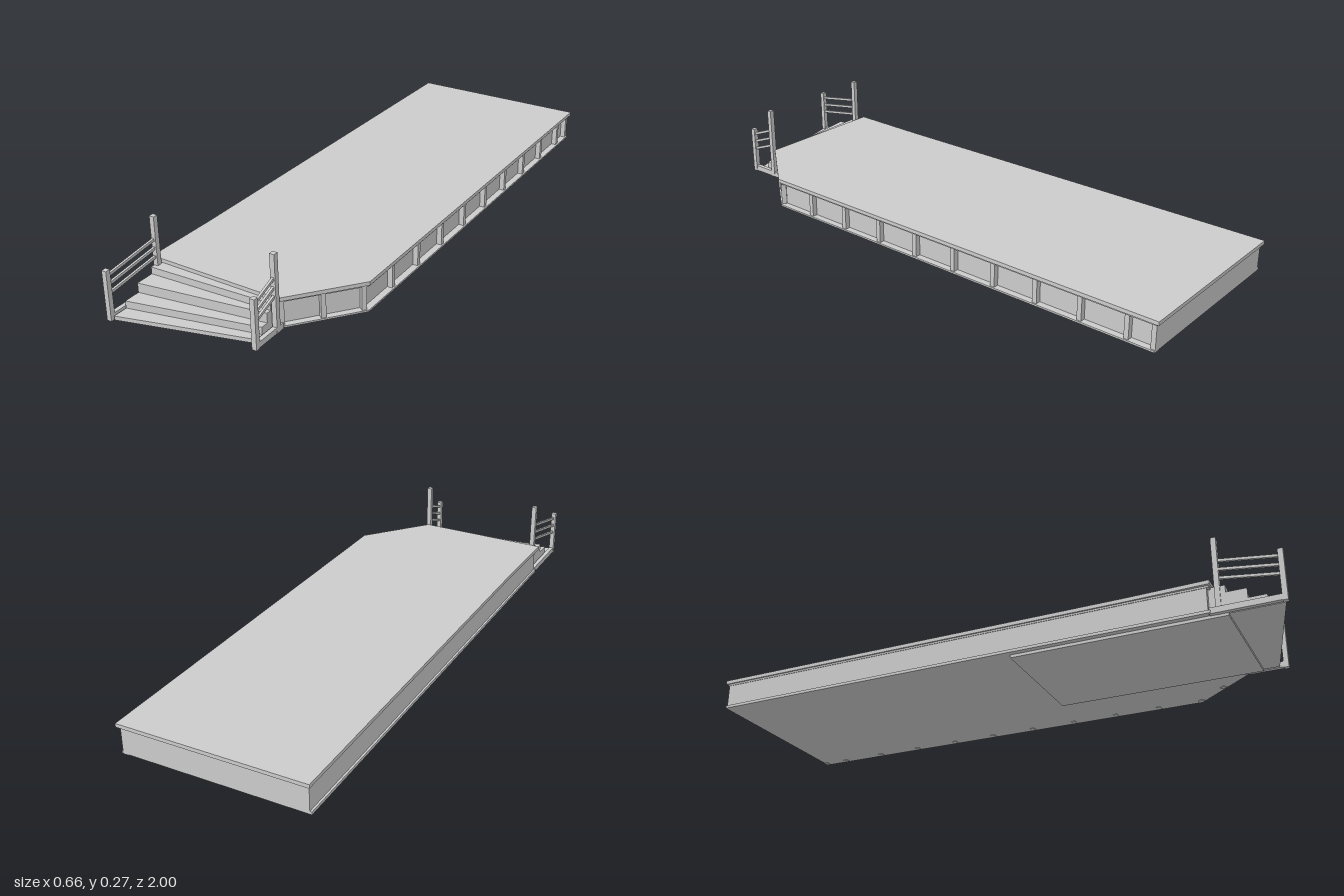
import * as THREE from 'three';

const material = new THREE.MeshStandardMaterial({ color: 0xcccccc, flatShading: true });

export function createModel() {
  const model = new THREE.Group();
  model.name = 'stageWithSteps';

  function add(name, geometry) {
    const mesh = new THREE.Mesh(geometry, material);
    mesh.name = name;
    model.add(mesh);
    return mesh;
  }

  // Horizontal slab with a plan outline of [x, z] corners
  function slab(name, outline, y0, y1) {
    const shape = new THREE.Shape(outline.map(([x, z]) => new THREE.Vector2(x, -z)));
    const geo = new THREE.ExtrudeGeometry(shape, { depth: y1 - y0, bevelEnabled: false });
    geo.rotateX(-Math.PI / 2);
    geo.translate(0, y0, 0);
    return add(name, geo);
  }

  // Box given by its limits on each axis
  function block(name, x0, x1, y0, y1, z0, z1) {
    const mesh = add(name, new THREE.BoxGeometry(x1 - x0, y1 - y0, z1 - z0));
    mesh.position.set((x0 + x1) / 2, (y0 + y1) / 2, (z0 + z1) / 2);
    return mesh;
  }

  // Square bar between two points
  function bar(name, a, b, width, height) {
    const from = new THREE.Vector3(...a), to = new THREE.Vector3(...b);
    const mesh = add(name, new THREE.BoxGeometry(width, height, from.distanceTo(to)));
    mesh.position.copy(from).add(to).multiplyScalar(0.5);
    mesh.lookAt(to);
    return mesh;
  }

  // Deck with one cut corner, and the trim beneath its edge
  slab('deck', [[-0.325, -1], [0.33, -1], [0.33, 0.56], [0.15, 0.78], [-0.33, 0.775], [-0.325, 0.5]], 0.104, 0.117);
  slab('deckTrim', [[-0.32, -0.992], [0.325, -0.992], [0.325, 0.558], [0.147, 0.774], [-0.32, 0.77]], 0.098, 0.104);

  // Enclosed base
  slab('base', [[-0.318, -0.99], [0.303, -0.99], [0.303, 0.552], [0.132, 0.762], [-0.318, 0.762]], 0.01, 0.098);
  block('leftSill', -0.325, -0.315, 0.01, 0.02, -0.99, 0.77);

  // Lower sill along the panelled side and the cut corner
  slab('panelSill', [[0.29, -0.99], [0.326, -0.99], [0.326, 0.559], [0.148, 0.776], [0.12, 0.762], [0.29, 0.552]], 0.01, 0.016);

  // Upright battens on the panelled side
  for (let i = 0; i < 11; i++) {
    const z = Math.max(0.567 - i * 0.1622, -0.982);
    if (i > 0) block('sideBatten', 0.3, 0.321, 0.008, 0.1, z - 0.008, z + 0.008);
  }

  // Upright battens on the cut corner
  const cornerAngle = Math.atan2(0.18, -0.22);
  for (const t of [0.03, 0.5, 0.97]) {
    const batten = add('cornerBatten', new THREE.BoxGeometry(0.018, 0.092, 0.016));
    batten.position.set(0.313 - 0.173 * t, 0.054, 0.555 + 0.212 * t);
    batten.rotation.y = cornerAngle;
  }

  // Foundation pad under the front
  block('foundationPad', -0.305, 0.13, 0, 0.011, 0.11, 0.82);

  // Fanned steps, each [top height, left depth, right depth]
  const steps = [[0.104, 0.815, 0.797], [0.08, 0.88, 0.815], [0.047, 0.938, 0.842], [0.022, 0.99, 0.872]];
  let bottom = [0.08, 0.047, 0.022, 0.008];
  steps.forEach(([top, left, right], i) =>
    slab('step', [[-0.302, 0.762], [0.135, 0.762], [0.135, right], [-0.302, left]], bottom[i], top));

  // Handrails on both sides of the steps
  function handrail(side, xBack, xFront, zFront) {
    const h = 0.0085;
    block(side + 'BackPost', xBack - h, xBack + h, 0.008, 0.273, 0.782, 0.799);
    block(side + 'FrontPost', xFront - h, xFront + h, 0.006, 0.177, zFront - h, zFront + h);
    for (let i = 0; i < 3; i++) {
      const drop = i * 0.03;
      bar(side + 'Rail', [xFront, 0.156 - drop, zFront], [xBack, 0.195 - drop, 0.79], 0.008, 0.009);
    }
    bar(side + 'Stringer', [xFront, 0.018, zFront], [xFront, 0.018, 0.765], 0.015, 0.02);
  }
  handrail('left', 0.149, 0.149, 0.892);
  handrail('right', -0.297, -0.314, 0.991);

  return model;
}
